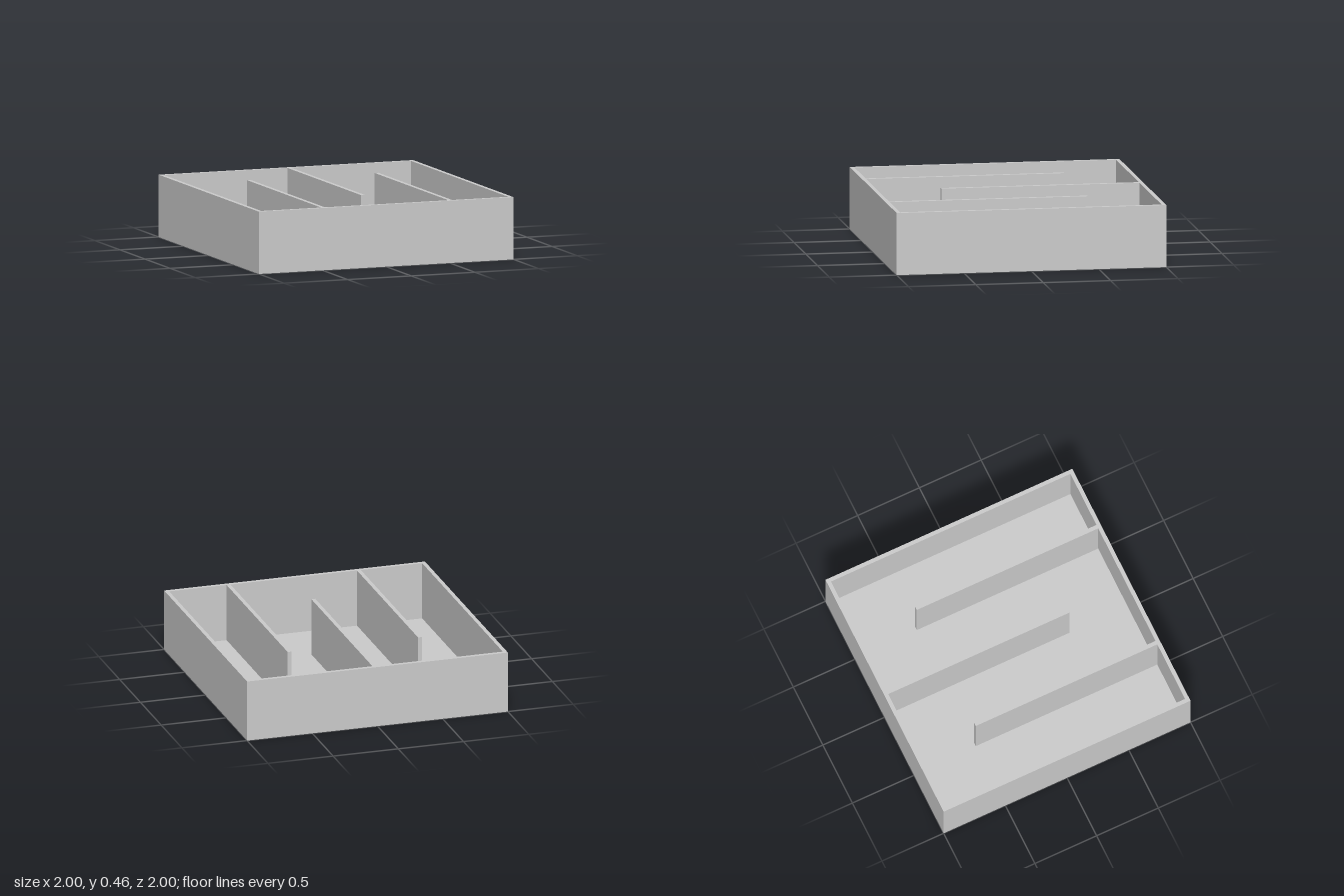
import * as THREE from 'three';

const SIZE = 2, HEIGHT = 0.46, WALL = 0.03, INNER = SIZE / 2 - WALL;

export function createModel() {
  const model = new THREE.Group();
  model.name = 'dividedTray';
  const material = new THREE.MeshStandardMaterial({ color: 0xcccccc });

  // Adds a box given by its lower and upper corners
  function addBox(name, [x0, y0, z0], [x1, y1, z1]) {
    const mesh = new THREE.Mesh(new THREE.BoxGeometry(x1 - x0, y1 - y0, z1 - z0), material);
    mesh.position.set((x0 + x1) / 2, (y0 + y1) / 2, (z0 + z1) / 2);
    mesh.name = name;
    model.add(mesh);
  }

  // Corner points of a centred square
  const square = (h) => [[-h, -h], [h, -h], [h, h], [-h, h]].map(([x, y]) => new THREE.Vector2(x, y));

  // Floor plate
  addBox('floor', [-1, 0, -1], [1, WALL, 1]);

  // Outer walls: a square ring raised from the floor
  const ring = new THREE.Shape(square(SIZE / 2));
  ring.holes.push(new THREE.Path(square(INNER).reverse()));
  const wallGeometry = new THREE.ExtrudeGeometry(ring, { depth: HEIGHT - WALL, bevelEnabled: false });
  wallGeometry.rotateX(-Math.PI / 2).translate(0, WALL, 0);
  const walls = new THREE.Mesh(wallGeometry, material);
  walls.name = 'outerWalls';
  model.add(walls);

  // Dividers attached alternately to the front and back walls: [name, x, zStart, zEnd]
  const dividers = [
    ['rightDivider', -0.5, -0.5, INNER],
    ['middleDivider', 0, -INNER, 0.5],
    ['leftDivider', 0.5, -0.5, INNER],
  ];
  for (const [name, x, z0, z1] of dividers) {
    addBox(name, [x, WALL, z0], [x + WALL, HEIGHT, z1]);
  }

  return model;
}
